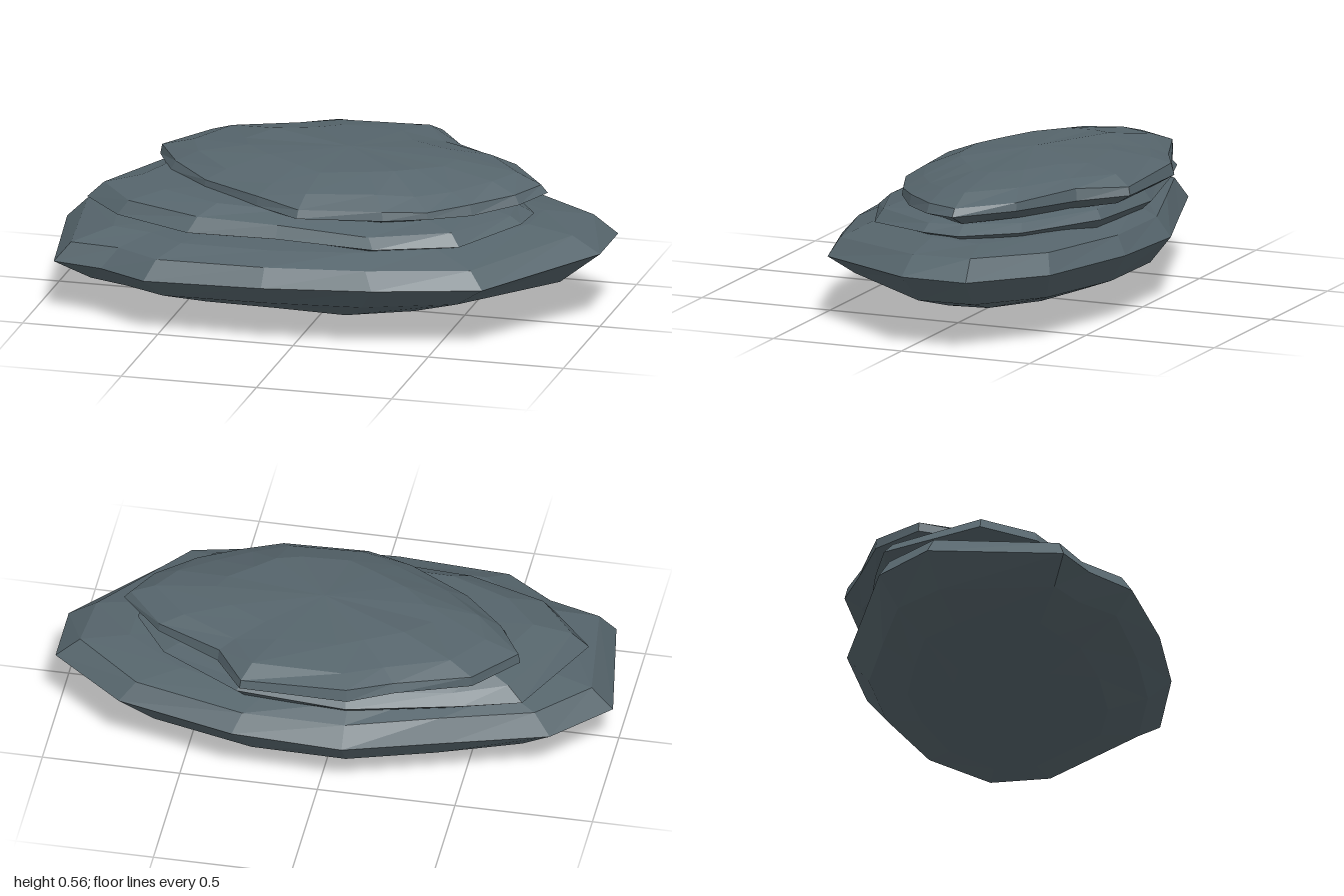
import * as THREE from 'three';

// One faceted slab: an outline (x, z) scaled about a centre at each level.
// levels: [scale, height, tiltX, tiltZ], listed from the underside to the top.
function makeSlab(name, outline, [cx, cz], levels, material, seed) {
  const rand = () => ((seed = (seed * 16807) % 2147483647) / 2147483647);
  const n = outline.length;
  const positions = [];
  const index = [];
  levels.forEach(([scale, y, tiltX = 0, tiltZ = 0]) => {
    outline.forEach(([x, z]) => {
      const wobble = scale === 0 ? 0 : (rand() - 0.5) * 0.014;
      const s = scale === 0 || scale === 1 ? scale : scale + (rand() - 0.5) * 0.035;
      const px = cx + (x - cx) * s;
      const pz = cz + (z - cz) * s;
      positions.push(px, y + tiltX * px + tiltZ * pz + wobble, pz);
    });
  });
  for (let i = 0; i < levels.length - 1; i++) {
    for (let j = 0; j < n; j++) {
      const a = i * n + j;
      const b = i * n + ((j + 1) % n);
      const c = a + n;
      const d = b + n;
      if (levels[i][0] > 0) index.push(a, c, b);
      if (levels[i + 1][0] > 0) index.push(c, d, b);
    }
  }
  const geometry = new THREE.BufferGeometry();
  geometry.setAttribute('position', new THREE.Float32BufferAttribute(positions, 3));
  geometry.setIndex(index);
  const flat = geometry.toNonIndexed();
  flat.computeVertexNormals();
  const mesh = new THREE.Mesh(flat, material);
  mesh.name = name;
  return mesh;
}

export function createModel() {
  const group = new THREE.Group();
  group.name = 'layeredRock';
  const stone = new THREE.MeshStandardMaterial({ color: 0x56656c });
  stone.name = 'slateGrey';

  // Wide bottom slab, keel-shaped underneath
  group.add(makeSlab('bottomSlab', [
    [1, -0.25], [1, 0], [0.68, 0.43], [0.3, 0.54], [-0.1, 0.57], [-0.54, 0.55],
    [-0.73, 0.43], [-0.92, 0.37], [-1, -0.11], [-0.81, -0.32], [-0.46, -0.44],
    [-0.1, -0.565], [0.3, -0.565], [0.73, -0.46],
  ], [-0.1, 0], [
    [0, 0], [0.35, 0.046], [0.62, 0.08, 0.01], [0.86, 0.145, 0.02],
    [1, 0.235, 0.03, -0.02], [0.92, 0.305, 0.025, -0.03], [0.76, 0.34, 0.02, -0.02], [0, 0.36],
  ], stone, 11));

  // Middle slab
  group.add(makeSlab('middleSlab', [
    [0.73, -0.1], [0.72, 0.04], [0.56, 0.3], [0.27, 0.41], [-0.1, 0.37], [-0.43, 0.36],
    [-0.72, 0.24], [-0.88, 0.06], [-0.71, -0.32], [-0.5, -0.39], [-0.1, -0.49],
    [0.3, -0.47], [0.6, -0.29],
  ], [-0.05, -0.05], [
    [0, 0.32], [0.88, 0.33], [1, 0.36, 0.01, -0.02], [0.93, 0.4, 0, -0.02],
    [0.78, 0.435, -0.01, -0.02], [0, 0.46],
  ], stone, 29));

  // Top slab, raised towards the back
  group.add(makeSlab('topSlab', [
    [0.78, -0.1], [0.71, 0.03], [0.57, 0.16], [0.43, 0.25], [0.28, 0.31], [-0.03, 0.34],
    [-0.2, 0.26], [-0.43, 0.12], [-0.6, -0.04], [-0.68, -0.2], [-0.54, -0.38],
    [-0.28, -0.49], [-0.12, -0.57], [0.27, -0.57], [0.38, -0.41], [0.62, -0.28],
  ], [0.05, -0.1], [
    [0, 0.4], [0.86, 0.415, 0, -0.02], [1, 0.442, 0, -0.04], [0.98, 0.475, 0, -0.055],
    [0.84, 0.51, 0, -0.05], [0.55, 0.548, 0, -0.02], [0, 0.565],
  ], stone, 53));

  return group;
}
